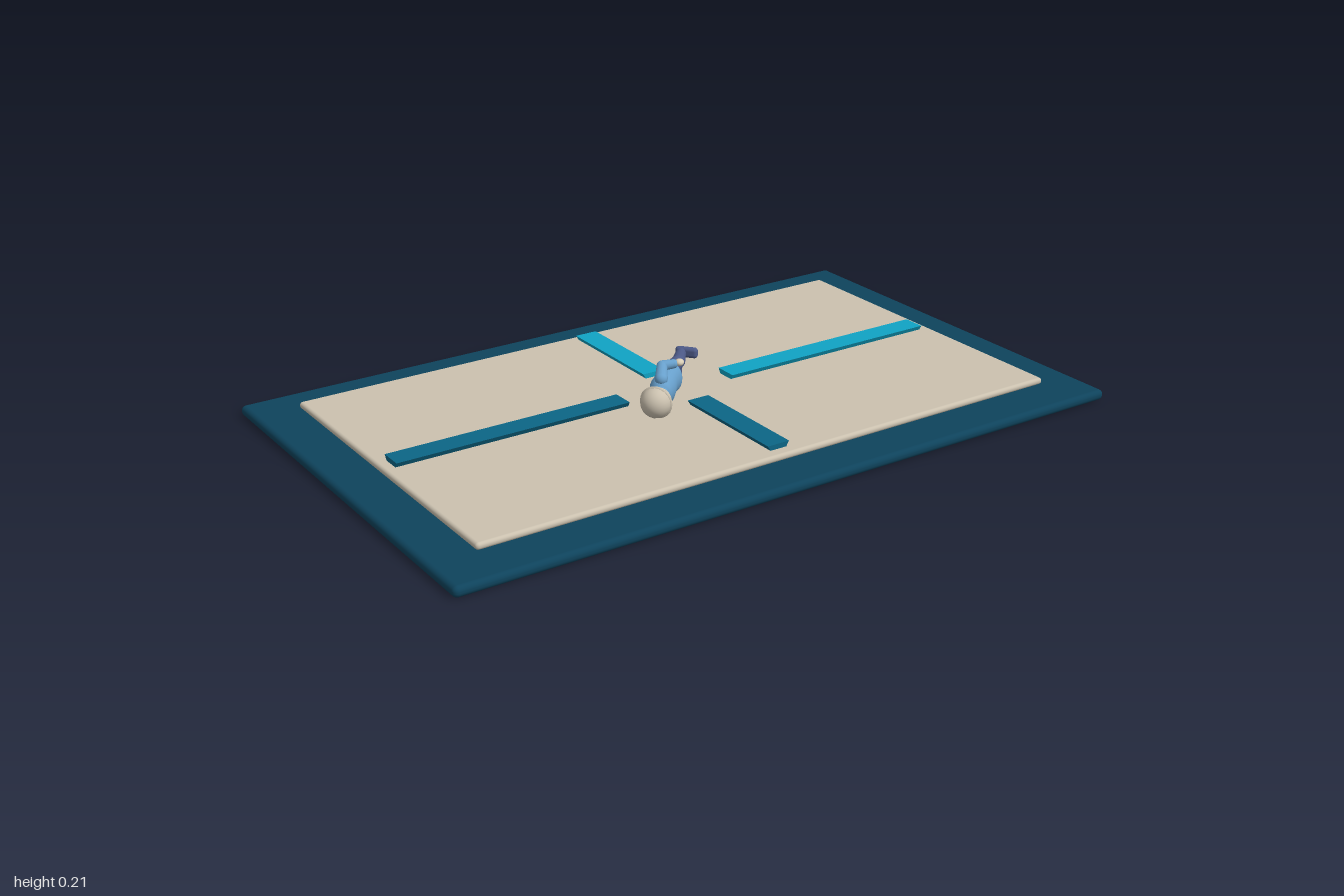
import * as THREE from 'three';
import { RoundedBoxGeometry } from 'three/addons/geometries/RoundedBoxGeometry.js';

const paint = (name, color) => {
  const m = new THREE.MeshStandardMaterial({ color });
  m.name = name;
  return m;
};

export function createModel() {
  const navy = paint('deep navy', 0x0e435c);
  const sand = paint('sand', 0xcbc1af);
  const teal = paint('dark teal', 0x0c6686);
  const cyan = paint('bright cyan', 0x10a3c4);
  const cream = paint('cream', 0xd9ceb7);
  const blue = paint('jacket blue', 0x68a0cc);
  const indigo = paint('trouser indigo', 0x4d5a88);

  const model = new THREE.Group();
  model.name = 'floorPlaque';
  const add = (parent, name, geometry, material, x = 0, y = 0, z = 0) => {
    const mesh = new THREE.Mesh(geometry, material);
    mesh.name = name;
    mesh.position.set(x, y, z);
    parent.add(mesh);
    return mesh;
  };

  // Stacked rounded slabs
  add(model, 'base', new RoundedBoxGeometry(2, 0.03, 1.226, 3, 0.014), navy, 0, 0.015, 0);
  add(model, 'panel', new RoundedBoxGeometry(1.76, 0.019, 0.99, 3, 0.009), sand, 0, 0.0435, 0);

  // Cross bars, narrower at the underside
  const bar = (name, length, material, x, z, turned) => {
    const g = new THREE.BoxGeometry(length, 0.014, 0.066);
    const p = g.attributes.position;
    for (let i = 0; i < p.count; i++) {
      if (p.getY(i) < 0) p.setZ(i, p.getZ(i) * 0.75);
    }
    g.computeVertexNormals();
    const mesh = add(model, name, g, material, x, 0.06, z);
    if (turned) mesh.rotation.y = Math.PI / 2;
  };
  bar('leftwardBar', 0.68, teal, -0.51, -0.002, false);
  bar('rightwardBar', 0.68, cyan, 0.505, -0.003, false);
  bar('rearBar', 0.355, cyan, -0.001, -0.289, true);
  bar('frontBar', 0.355, teal, -0.003, 0.284, true);

  // Figure is modelled upright, facing +z, then laid on its side
  const figure = new THREE.Group();
  figure.name = 'figure';
  const r = Math.SQRT1_2;
  figure.setRotationFromMatrix(new THREE.Matrix4().makeBasis(
    new THREE.Vector3(0, 1, 0), new THREE.Vector3(-r, 0, r), new THREE.Vector3(r, 0, r)));
  figure.position.set(0, 0.138, 0.005);
  model.add(figure);

  const ball = (name, radius, material, pos, scale = [1, 1, 1]) => {
    const mesh = add(figure, name, new THREE.SphereGeometry(radius, 20, 14), material, ...pos);
    mesh.scale.set(...scale);
    return mesh;
  };
  const limb = (name, points, radii, material) => {
    points.forEach((p, i) => {
      ball(name + 'Joint', radii[i], material, p);
      if (i === 0) return;
      const a = new THREE.Vector3(...points[i - 1]);
      const b = new THREE.Vector3(...p);
      const dir = b.clone().sub(a);
      const g = new THREE.CylinderGeometry(radii[i], radii[i - 1], dir.length(), 14, 1, true);
      const seg = add(figure, name, g, material);
      seg.position.copy(a).add(b).multiplyScalar(0.5);
      seg.quaternion.setFromUnitVectors(new THREE.Vector3(0, 1, 0), dir.normalize());
    });
  };

  // Jacket with flared hem and collar
  const profile = [[0, 0.112], [0.043, 0.112], [0.045, 0.12], [0.039, 0.16], [0.043, 0.205],
    [0.036, 0.232], [0.02, 0.247], [0, 0.25]].map(([x, y]) => new THREE.Vector2(x, y));
  add(figure, 'jacket', new THREE.LatheGeometry(profile, 24), blue).scale.z = 0.8;
  const collar = add(figure, 'collar', new THREE.TorusGeometry(0.02, 0.008, 8, 20), blue, 0, 0.245, 0);
  collar.rotation.x = Math.PI / 2;

  // Head with a close cap and brim
  ball('head', 0.037, cream, [0, 0.283, 0.002], [1, 1.05, 1]);
  const cap = add(figure, 'cap', new THREE.SphereGeometry(0.041, 20, 10, 0, Math.PI * 2, 0, Math.PI * 0.5),
    sand, 0, 0.288, 0);
  cap.rotation.x = -0.15;
  const band = add(figure, 'capBand', new THREE.TorusGeometry(0.039, 0.005, 8, 24), sand, 0, 0.288, 0);
  band.rotation.x = Math.PI / 2 - 0.15;

  // Arms swing opposite to the striding legs
  limb('leftArm', [[0.038, 0.222, 0], [0.054, 0.172, -0.008], [0.056, 0.158, 0.02]],
    [0.017, 0.014, 0.012], blue);
  ball('leftHand', 0.012, cream, [0.058, 0.15, 0.034], [0.8, 1.1, 1]);
  limb('rightArm', [[-0.038, 0.222, 0], [-0.052, 0.172, -0.016], [-0.05, 0.132, -0.026]],
    [0.017, 0.014, 0.012], blue);
  ball('rightHand', 0.012, cream, [-0.05, 0.115, -0.03], [0.8, 1.2, 1]);

  // Legs and shoes
  limb('leftLeg', [[0.02, 0.13, 0], [0.028, 0.07, 0.016], [0.03, 0.016, 0.012]],
    [0.023, 0.018, 0.014], indigo);
  limb('rightLeg', [[-0.02, 0.13, 0], [-0.028, 0.07, -0.006], [-0.03, 0.016, -0.03]],
    [0.023, 0.018, 0.014], indigo);
  const shoe = (name, x, y, z, tilt) => {
    const mesh = add(figure, name, new RoundedBoxGeometry(0.03, 0.02, 0.062, 3, 0.01), indigo, x, y, z);
    mesh.rotation.x = tilt;
  };
  shoe('leftShoe', 0.03, 0.006, 0.026, -0.1);
  shoe('rightShoe', -0.03, 0.003, -0.018, 0.35);

  return model;
}
